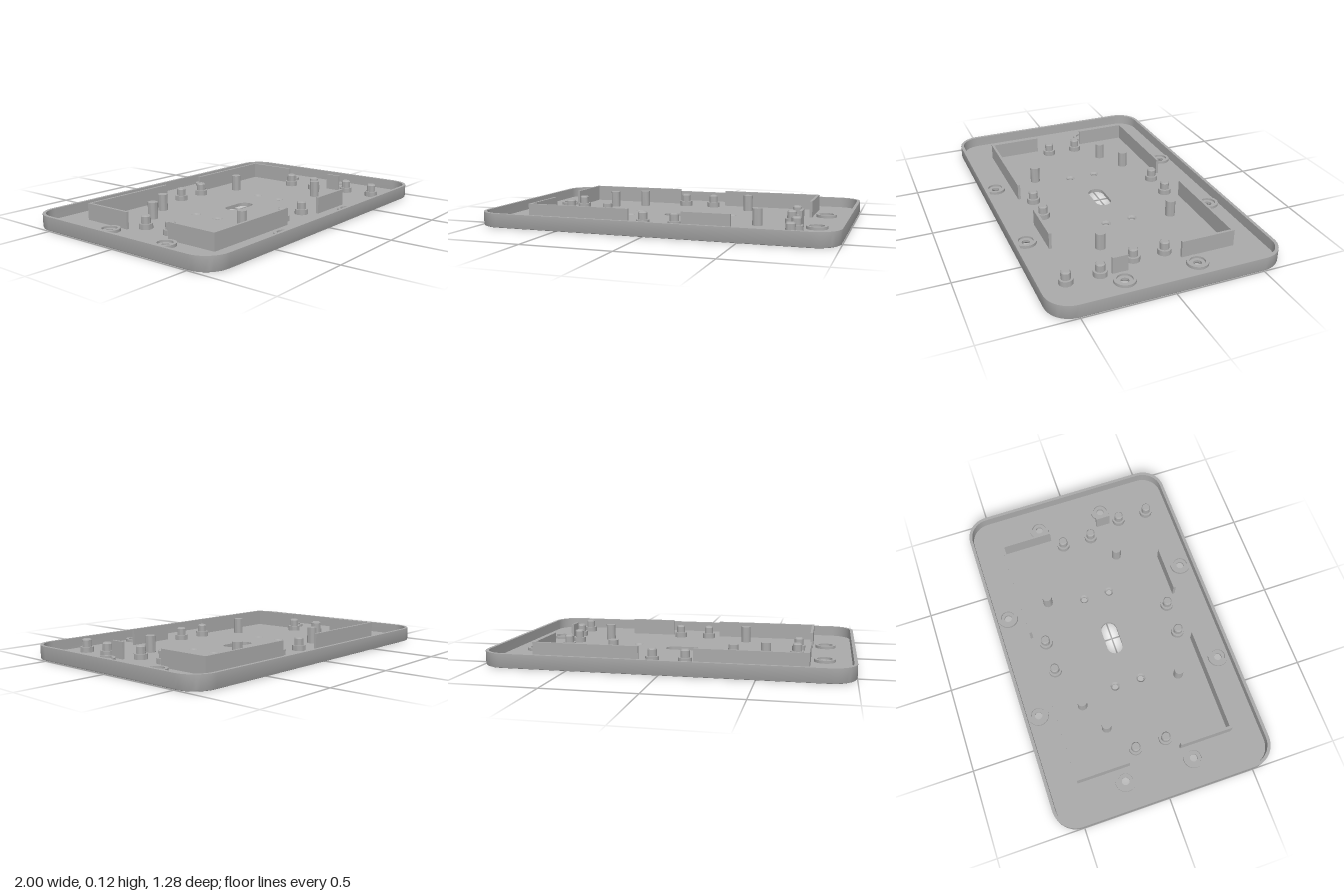
import * as THREE from 'three';
import { toCreasedNormals } from 'three/addons/utils/BufferGeometryUtils.js';

const W = 1, D = 0.64, R = 0.135;      // half width, half depth, corner radius
const FLOOR = 0.02, RIM = 0.08, TALL = 0.115;
const SLOT = [0.102, 0.047, 0.047];

const grey = new THREE.MeshStandardMaterial({ color: 0xaaaaaa });
grey.name = 'grey plastic';

// Rounded rectangle, counter-clockwise
function outline(w, d, r, inset = 0, seg = 10) {
  const pts = [], rr = r - inset;
  [[1, 1], [-1, 1], [-1, -1], [1, -1]].forEach(([sx, sy], k) => {
    for (let i = 0; i <= seg; i++) {
      const a = (k + i / seg) * Math.PI / 2;
      pts.push(new THREE.Vector2(sx * (w - r) + rr * Math.cos(a), sy * (d - r) + rr * Math.sin(a)));
    }
  });
  return pts;
}

// Sweep a profile of [inset, y] around a rounded rectangle
function loft(w, d, r, profile) {
  const pos = [], index = [];
  let n = 0;
  profile.forEach(([inset, y]) => {
    const pts = outline(w, d, r, inset);
    n = pts.length;
    pts.forEach(p => pos.push(p.x, y, -p.y));
  });
  for (let j = 0; j < profile.length - 1; j++) {
    for (let i = 0; i < n; i++) {
      const a = j * n + i, b = j * n + (i + 1) % n;
      index.push(a, b, b + n, a, b + n, a + n);
    }
  }
  const g = new THREE.BufferGeometry();
  g.setAttribute('position', new THREE.Float32BufferAttribute(pos, 3));
  g.setIndex(index);
  g.computeVertexNormals();
  return toCreasedNormals(g, 0.6);
}

function turned(profile) {
  const g = new THREE.LatheGeometry(profile.map(p => new THREE.Vector2(...p)), 24);
  return toCreasedNormals(g, 0.6);
}

const fourWays = (x, z) => [[x, z], [-x, z], [x, -z], [-x, -z]];
const screwSpots = [...fourWays(0.318, 0.557), ...fourWays(0.835, 0.204)];
const mountSpots = fourWays(0.293, 0.08);
const bossSpots = [...fourWays(0.092, 0.385), ...fourWays(0.68, 0.09), [0.74, 0.297], [0.74, 0.48]];
const pinSpots = [[-0.343, 0.295], [-0.343, -0.297], [0.34, -0.297], [-0.513, -0.207], [0.51, 0.203]];

// Flat sheet pierced by the slot and the round holes
function sheet(inset, screwR, mountR) {
  const shape = new THREE.Shape(outline(W, D, R, inset));
  shape.holes.push(new THREE.Path(outline(...SLOT)));
  const pierce = (spots, r) => spots.forEach(([x, z]) =>
    shape.holes.push(new THREE.Path().absarc(x, z, r, 0, Math.PI * 2)));
  pierce(screwSpots, screwR);
  pierce(mountSpots, mountR);
  return new THREE.ShapeGeometry(shape, 12);
}

export function createModel() {
  const model = new THREE.Group();
  model.name = 'coverPlate';
  const add = (name, geometry, x = 0, y = 0, z = 0) => {
    const m = new THREE.Mesh(geometry, grey);
    m.name = name;
    m.position.set(x, y, z);
    model.add(m);
  };
  const addAll = (name, geometry, spots) => spots.forEach(([x, z]) => add(name, geometry, x, 0, z));

  // Tray: rim wall with softened lower edge, floor, underside, slot
  add('rim', loft(W, D, R, [[0.01, 0], [0.003, 0.003], [0, 0.01], [0, RIM], [0.018, RIM], [0.018, FLOOR]]));
  add('floor', sheet(0.018, 0.05, 0.027).rotateX(-Math.PI / 2), 0, FLOOR, 0);
  add('underside', sheet(0.01, 0.031, 0.018).rotateX(Math.PI / 2));
  add('slotWall', loft(...SLOT, [[0, FLOOR], [0, 0]]));

  // Raised screw collars and countersunk mounting holes
  addAll('screwCollar', turned([[0.059, FLOOR], [0.059, 0.036], [0.042, 0.036], [0.042, 0.024],
    [0.022, 0.024], [0.022, 0.01], [0.031, 0]]), screwSpots);
  addAll('mountingHole', turned([[0.027, FLOOR], [0.018, 0.01], [0.018, 0]]), mountSpots);

  // Stepped bosses and plain pins
  addAll('boss', turned([[0.038, FLOOR], [0.038, 0.05], [0.026, 0.05], [0.026, 0.088],
    [0.02, 0.095], [0, 0.095]]), bossSpots);
  addAll('pin', turned([[0.028, FLOOR], [0.028, TALL], [0, TALL]]), pinSpots);

  // Upright ribs: x from, x to, z from, z to
  const ribs = [
    [-0.76, -0.152, -0.463, -0.448], [-0.76, -0.745, -0.448, -0.153],
    [0.152, 0.757, -0.463, -0.448], [0.742, 0.757, -0.448, -0.153],
    [-0.76, -0.152, 0.445, 0.46], [-0.76, -0.745, 0.15, 0.445],
    [0.152, 0.423, 0.445, 0.46], [0.742, 0.757, 0.15, 0.237],
  ];
  ribs.forEach(([x0, x1, z0, z1]) => add('rib', new THREE.BoxGeometry(x1 - x0, TALL - FLOOR, z1 - z0),
    (x0 + x1) / 2, (TALL + FLOOR) / 2, (z0 + z1) / 2));

  return model;
}
